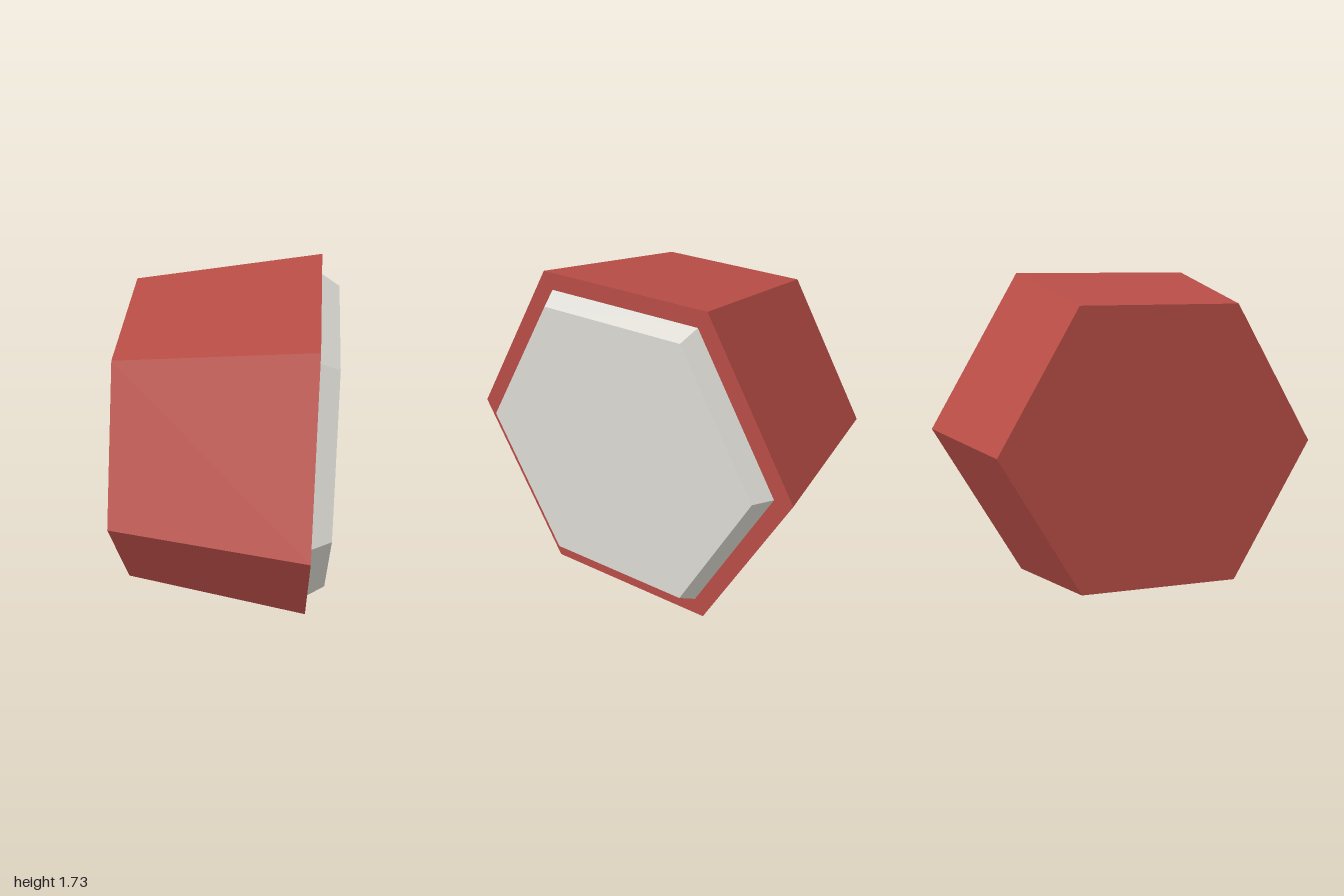
import * as THREE from 'three';

const CENTRE_Y = 0.866; // height of the hexagon axis, resting on a flat side

// Six-sided frustum lying along x, from x0 (radius r0) to x1 (radius r1)
function hexFrustum(name, material, x0, r0, x1, r1) {
  const geometry = new THREE.CylinderGeometry(r1, r0, x1 - x0, 6).toNonIndexed();
  geometry.rotateZ(-Math.PI / 2);
  geometry.computeVertexNormals(); // flat facets
  const mesh = new THREE.Mesh(geometry, material);
  mesh.name = name;
  mesh.position.set((x0 + x1) / 2, CENTRE_Y, 0);
  return mesh;
}

export function createModel() {
  const red = new THREE.MeshStandardMaterial({ color: 0xb84d46 });
  red.name = 'brick red';
  const grey = new THREE.MeshStandardMaterial({ color: 0xdddbd4 });
  grey.name = 'pale grey';

  const model = new THREE.Group();
  model.name = 'hexagonalBlock';
  // Flared body, then the bevelled plate on its wide end
  model.add(hexFrustum('body', red, -0.55, 0.833, 0.45, 1));
  model.add(hexFrustum('endPlate', grey, 0.45, 0.895, 0.55, 0.833));
  return model;
}
